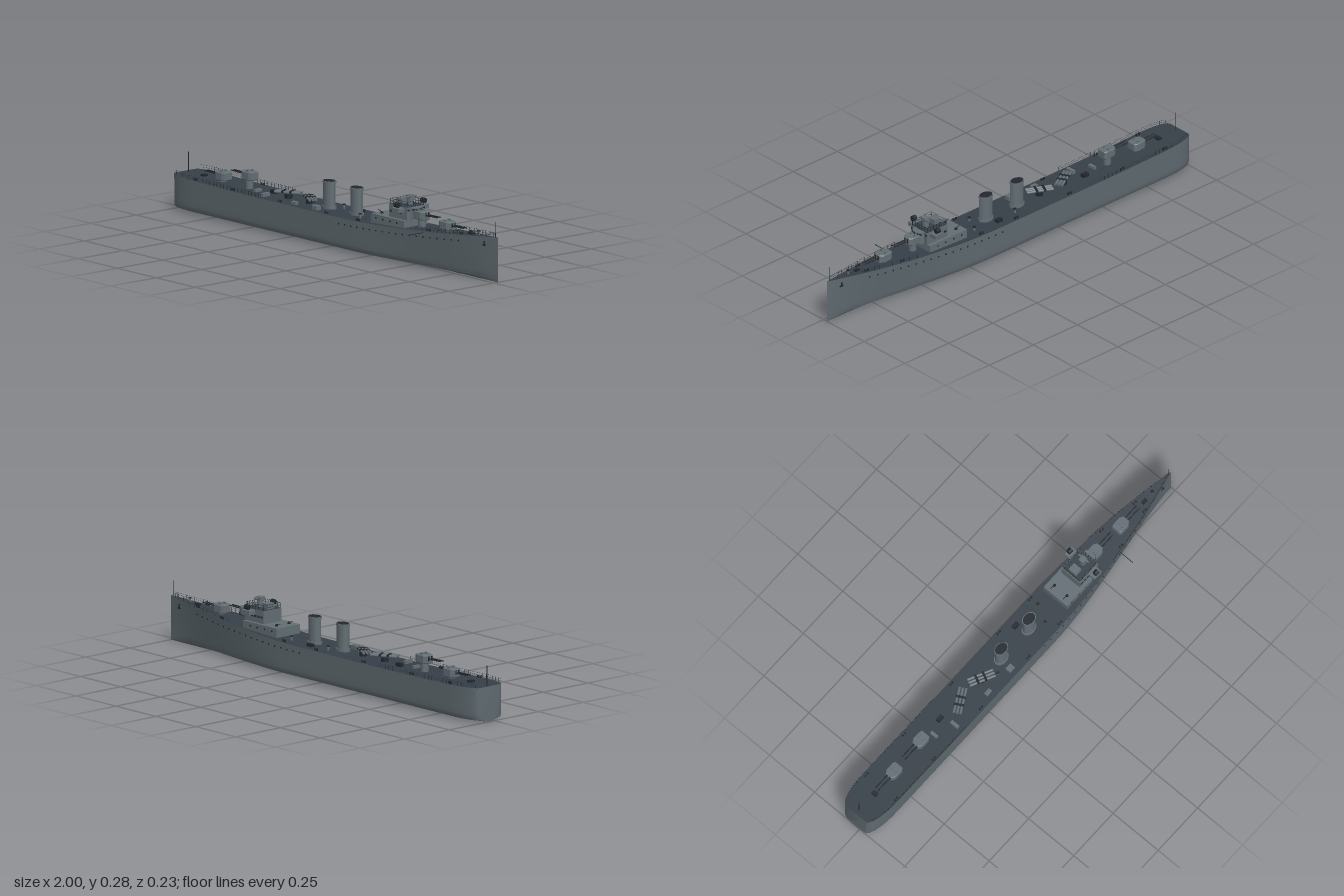
import * as THREE from 'three';
import { toCreasedNormals } from 'three/addons/utils/BufferGeometryUtils.js';

const mat = (name, color, side = THREE.FrontSide) =>
  Object.assign(new THREE.MeshStandardMaterial({ color, side }), { name });
const HULL = mat('hull grey', 0x5f6a70);
const UPPER = mat('superstructure grey', 0x636e74);
const DECK = mat('deck dark grey', 0x363f48);
const DARK = mat('fittings charcoal', 0x23282d, THREE.DoubleSide);

// Hull lines: half breadth, deck height and bottom fullness along the length
const halfWidth = x => {
  if (x > 0.15) return 0.094 * (1 - ((x - 0.15) / 0.85) ** 2);
  if (x < -0.85) return 0.056 + 0.038 * Math.sqrt(Math.max(0, 1 - ((x + 0.85) / 0.15) ** 2));
  return 0.094;
};
const deckY = x => 0.142 + 0.05 * Math.max(0, (x - 0.1) / 0.9) ** 1.5 + 0.01 * Math.max(0, (-x - 0.4) / 0.6) ** 2;
const fullness = x => 0.98 * (1 - 0.75 * Math.max(0, (x - 0.2) / 0.8) ** 1.4);
const sideZ = (x, y) => halfWidth(x) * THREE.MathUtils.lerp(fullness(x), 1, Math.min(1, y / deckY(x)));

// Skin between cross-sections, with an optional fan closing the first one
function skin(rows, capFirst) {
  const n = rows[0].length, index = [];
  for (let i = 0; i < rows.length - 1; i++) for (let j = 0; j < n - 1; j++) {
    const a = i * n + j, b = a + n;
    index.push(a, a + 1, b, a + 1, b + 1, b);
  }
  if (capFirst) for (let j = 1; j < n - 1; j++) index.push(0, j + 1, j);
  const g = new THREE.BufferGeometry();
  g.setAttribute('position', new THREE.Float32BufferAttribute(rows.flat(2), 3));
  g.setIndex(index);
  return toCreasedNormals(g, 0.6);
}

function add(parent, name, geo, material, x = 0, y = 0, z = 0) {
  const m = new THREE.Mesh(geo, material);
  m.name = name;
  m.position.set(x, y, z);
  parent.add(m);
  return m;
}
const box = (p, name, m, w, h, d, x, y, z) => add(p, name, new THREE.BoxGeometry(w, h, d), m, x, y, z);
const cyl = (p, name, m, r, h, x, y, z, sides = 16) => add(p, name, new THREE.CylinderGeometry(r, r, h, sides), m, x, y, z);

// Thin rod between two points
function rod(parent, name, a, b, r, material = DARK, sides = 5) {
  const A = new THREE.Vector3(...a), d = new THREE.Vector3(...b).sub(A);
  const m = cyl(parent, name, material, r, d.length(), 0, 0, 0, sides);
  m.position.copy(A).addScaledVector(d, 0.5);
  m.quaternion.setFromUnitVectors(new THREE.Vector3(0, 1, 0), d.normalize());
  return m;
}

function buildHull(ship) {
  const xs = [-1, -0.995, -0.985, -0.97, -0.95, -0.92, -0.88, -0.85, -0.7, -0.5, -0.25, 0, 0.15];
  for (let i = 1; i <= 20; i++) xs.push(0.15 + 0.85 * i / 20);
  const bilge = [[0.1, 1], [0.06, 1], [0.035, 1], [0.02, 0.985], [0.012, 0.94], [0.005, 0.5]];
  const rows = xs.map(x => {
    const half = [[x, deckY(x), halfWidth(x)], ...bilge.map(([y, k]) => [x, y, sideZ(x, y) * k])];
    return [...half, [x, 0, 0], ...half.map(([px, y, z]) => [px, y, -z]).reverse()];
  });
  add(ship, 'hull', skin(rows, true), HULL);
  add(ship, 'mainDeck', skin(xs.map(x => [-1, 1].map(s => [x, deckY(x), s * halfWidth(x)]))), DECK);
  // Portholes and anchors on both sides
  for (const s of [-1, 1]) {
    for (let i = 0; i < 19; i++) {
      const x = 0.09 + i * 0.039, y = deckY(x) - 0.025;
      const p = cyl(ship, 'porthole', DARK, 0.004, 0.003, x, y, s * sideZ(x, y), 10);
      p.rotation.x = Math.PI / 2;
    }
    const z = s * (sideZ(0.93, 0.155) + 0.001);
    box(ship, 'anchorShank', DARK, 0.005, 0.022, 0.005, 0.93, 0.157, z);
    box(ship, 'anchorFlukes', DARK, 0.018, 0.005, 0.005, 0.93, 0.15, z);
  }
}

// Posts and two wires along the deck edge
function railing(ship, x0, x1, n) {
  for (const s of [-1, 1]) {
    const at = (i, h) => {
      const x = x0 + (x1 - x0) * i / n;
      return [x, deckY(x) + h, s * Math.max(0, halfWidth(x) - 0.002)];
    };
    for (let i = 0; i <= n; i++) {
      rod(ship, 'railPost', at(i, 0), at(i, 0.018), 0.0007, DARK, 4);
      if (i < n) for (const h of [0.009, 0.018]) rod(ship, 'railWire', at(i, h), at(i + 1, h), 0.0004, DARK, 3);
    }
  }
}

// Shielded twin gun, facing +x when dir is 1 and -x when dir is -1
function gun(ship, x, lift, dir) {
  const g = new THREE.Group();
  g.name = 'gunMount';
  g.position.set(x, deckY(x), 0);
  if (dir < 0) g.rotation.y = Math.PI;
  ship.add(g);
  cyl(g, 'gunPedestal', UPPER, 0.017, lift + 0.012, 0, (lift + 0.012) / 2, 0);
  const plan = new THREE.Shape([[-0.034, -0.02], [-0.022, -0.026], [0.018, -0.026], [0.034, -0.015],
    [0.034, 0.015], [0.018, 0.026], [-0.022, 0.026], [-0.034, 0.02]].map(p => new THREE.Vector2(...p)));
  const shield = new THREE.ExtrudeGeometry(plan, {
    depth: 0.03, bevelEnabled: true, bevelThickness: 0.003, bevelSize: 0.003, bevelOffset: -0.003, bevelSegments: 1
  }).rotateX(-Math.PI / 2);
  add(g, 'gunShield', shield, UPPER, 0, lift + 0.01, 0);
  for (const z of [-0.008, 0.008]) {
    rod(g, 'gunBarrel', [0.02, lift + 0.028, z], [0.108, lift + 0.03, z], 0.0027, DARK, 8);
    box(g, 'gunPort', DARK, 0.002, 0.02, 0.006, 0.0345, lift + 0.029, z);
    box(g, 'sightHood', UPPER, 0.012, 0.006, 0.008, -0.005, lift + 0.046, z * 1.6);
  }
}

function funnel(ship, x) {
  const g = new THREE.Group();
  g.name = 'funnel';
  g.position.set(x, deckY(x), 0);
  ship.add(g);
  const oval = (name, m, r, h, y) => { cyl(g, name, m, r, h, 0, y, 0, 28).scale.z = 0.72; };
  oval('funnelBase', UPPER, 0.036, 0.01, 0.005);
  oval('funnelCasing', UPPER, 0.031, 0.115, 0.0575);
  oval('funnelCap', UPPER, 0.034, 0.008, 0.114);
  oval('funnelMouth', DARK, 0.03, 0.002, 0.118);
  rod(g, 'steamPipe', [0.034, 0, 0], [0.034, 0.112, 0], 0.003, UPPER, 8);
}

// Triple torpedo tubes trained at an angle
function torpedoTubes(ship, x, turn) {
  const g = new THREE.Group();
  g.name = 'torpedoTubes';
  g.position.set(x, deckY(x), 0);
  g.rotation.y = turn;
  ship.add(g);
  cyl(g, 'tubePedestal', DARK, 0.016, 0.018, 0, 0.009, 0);
  for (const z of [-0.014, 0, 0.014]) rod(g, 'torpedoTube', [-0.058, 0.026, z], [0.058, 0.026, z], 0.006, UPPER, 10);
  box(g, 'tubeSaddle', DARK, 0.01, 0.008, 0.044, 0.015, 0.029, 0);
  box(g, 'tubeSaddle', DARK, 0.01, 0.008, 0.044, -0.02, 0.029, 0);
}

function bridge(ship) {
  box(ship, 'deckhouse', UPPER, 0.21, 0.045, 0.13, 0.37, 0.163, 0);
  box(ship, 'bridgeBlock', UPPER, 0.115, 0.055, 0.1, 0.42, 0.212, 0);
  box(ship, 'bridgeFloor', DECK, 0.108, 0.003, 0.094, 0.42, 0.24, 0);
  cyl(ship, 'bridgeFront', UPPER, 0.033, 0.055, 0.47, 0.212, 0, 20);
  for (const s of [-1, 1]) {
    // Wings with signal lamps
    box(ship, 'bridgeWing', UPPER, 0.045, 0.018, 0.036, 0.44, 0.228, s * 0.066);
    rod(ship, 'lampStand', [0.44, 0.237, s * 0.073], [0.44, 0.245, s * 0.073], 0.003);
    cyl(ship, 'signalLamp', DARK, 0.011, 0.02, 0.44, 0.25, s * 0.073, 14).rotation.z = Math.PI / 2;
    for (let i = 0; i < 4; i++) {
      box(ship, 'sideWindow', DARK, 0.012, 0.009, 0.002, 0.375 + i * 0.02, 0.212, s * 0.05);
      box(ship, 'deckhouseWindow', DARK, 0.007, 0.007, 0.002, 0.295 + i * 0.045, 0.17, s * 0.065);
    }
    for (const z of [0.04, 0.046]) box(ship, 'frontWindow', DARK, 0.002, 0.008, 0.005, 0.4775, 0.228, s * z);
    // Platform rail
    for (let i = 0; i <= 6; i++) rod(ship, 'bridgeRailPost', [0.366 + i * 0.018, 0.24, s * 0.046], [0.366 + i * 0.018, 0.263, s * 0.046], 0.0008);
    for (const y of [0.252, 0.263]) rod(ship, 'bridgeRail', [0.366, y, s * 0.046], [0.474, y, s * 0.046], 0.0007);
  }
  for (let i = -2; i <= 2; i++) {
    const a = i * 0.42, pane = box(ship, 'frontWindow', DARK, 0.002, 0.009, 0.011, 0.47 + 0.033 * Math.cos(a), 0.23, 0.033 * Math.sin(a));
    pane.rotation.y = -a;
  }
  for (const x of [0.366, 0.474]) for (const y of [0.252, 0.263]) rod(ship, 'bridgeRail', [x, y, -0.046], [x, y, 0.046], 0.0007);
  for (let i = -3; i <= 3; i++) rod(ship, 'bridgeRailPost', [0.474, 0.24, i * 0.014], [0.474, 0.263, i * 0.014], 0.0008);
  // Rangefinder and control position
  cyl(ship, 'directorColumn', UPPER, 0.014, 0.03, 0.44, 0.255, 0);
  box(ship, 'directorHouse', UPPER, 0.028, 0.016, 0.026, 0.44, 0.276, 0);
  rod(ship, 'rangefinder', [0.446, 0.277, -0.027], [0.446, 0.277, 0.027], 0.005, UPPER, 10);
  box(ship, 'controlPosition', UPPER, 0.035, 0.024, 0.04, 0.39, 0.253, 0);
  // Light guns behind the bridge
  for (const [x, z] of [[0.3, 0.035], [0.3, -0.035]]) {
    cyl(ship, 'lightGunMount', DARK, 0.006, 0.008, x, 0.189, z, 10);
    rod(ship, 'lightGunBarrel', [x, 0.193, z], [x - 0.025, 0.199, z], 0.0015);
  }
}

function deckFittings(ship) {
  // Paired bollards and fairleads
  for (const x of [-0.84, -0.6, -0.3, 0, 0.2, 0.62, 0.8]) for (const s of [-1, 1]) for (const d of [-0.007, 0.007])
    cyl(ship, 'bollard', DARK, 0.004, 0.01, x + d, deckY(x) + 0.005, s * (halfWidth(x) - 0.012), 8);
  // Lockers, hatches and skylights: x, z, length, height, width
  for (const [x, z, l, h, w, m] of [[-0.52, 0.015, 0.014, 0.012, 0.035, UPPER], [-0.43, 0.05, 0.015, 0.015, 0.04, UPPER],
    [-0.45, -0.015, 0.03, 0.015, 0.018, DARK], [-0.23, 0.06, 0.03, 0.012, 0.018, UPPER], [-0.09, 0.06, 0.03, 0.018, 0.025, UPPER],
    [0.07, -0.05, 0.03, 0.012, 0.02, DARK], [-0.88, 0, 0.02, 0.008, 0.025, DARK], [0.83, 0, 0.025, 0.008, 0.014, DARK]])
    box(ship, 'deckLocker', m, l, h, w, x, deckY(x) + h / 2, z);
  // Ventilators and capstan
  for (const [x, z] of [[-0.14, 0.035], [-0.03, -0.04], [0.16, 0.035], [0.2, -0.04], [0.88, 0]]) {
    cyl(ship, 'ventilator', UPPER, 0.005, 0.018, x, deckY(x) + 0.009, z, 10);
    cyl(ship, 'ventilatorHead', DARK, 0.007, 0.004, x, deckY(x) + 0.018, z, 10);
  }
  // Staffs and side boom
  rod(ship, 'ensignStaff', [-0.98, 0.15, 0], [-0.98, 0.236, 0], 0.0015);
  rod(ship, 'jackStaff', [0.984, 0.188, 0], [0.984, 0.256, 0], 0.0015);
  rod(ship, 'sideBoom', [0.6, 0.157, 0.06], [0.6, 0.157, 0.138], 0.0016);
}

export function createModel() {
  const model = new THREE.Group();
  model.name = 'warship';
  const ship = new THREE.Group();
  ship.name = 'ship';
  ship.position.z = -0.021;
  model.add(ship);
  buildHull(ship);
  railing(ship, -0.985, -0.4, 26);
  railing(ship, 0.55, 0.985, 20);
  gun(ship, -0.76, 0, -1);
  gun(ship, -0.59, 0.032, -1);
  gun(ship, 0.515, 0.028, 1);
  gun(ship, 0.682, 0, 1);
  for (const x of [-0.078, 0.098]) funnel(ship, x);
  torpedoTubes(ship, -0.34, 0.5);
  torpedoTubes(ship, -0.205, -0.45);
  bridge(ship);
  deckFittings(ship);
  return model;
}
